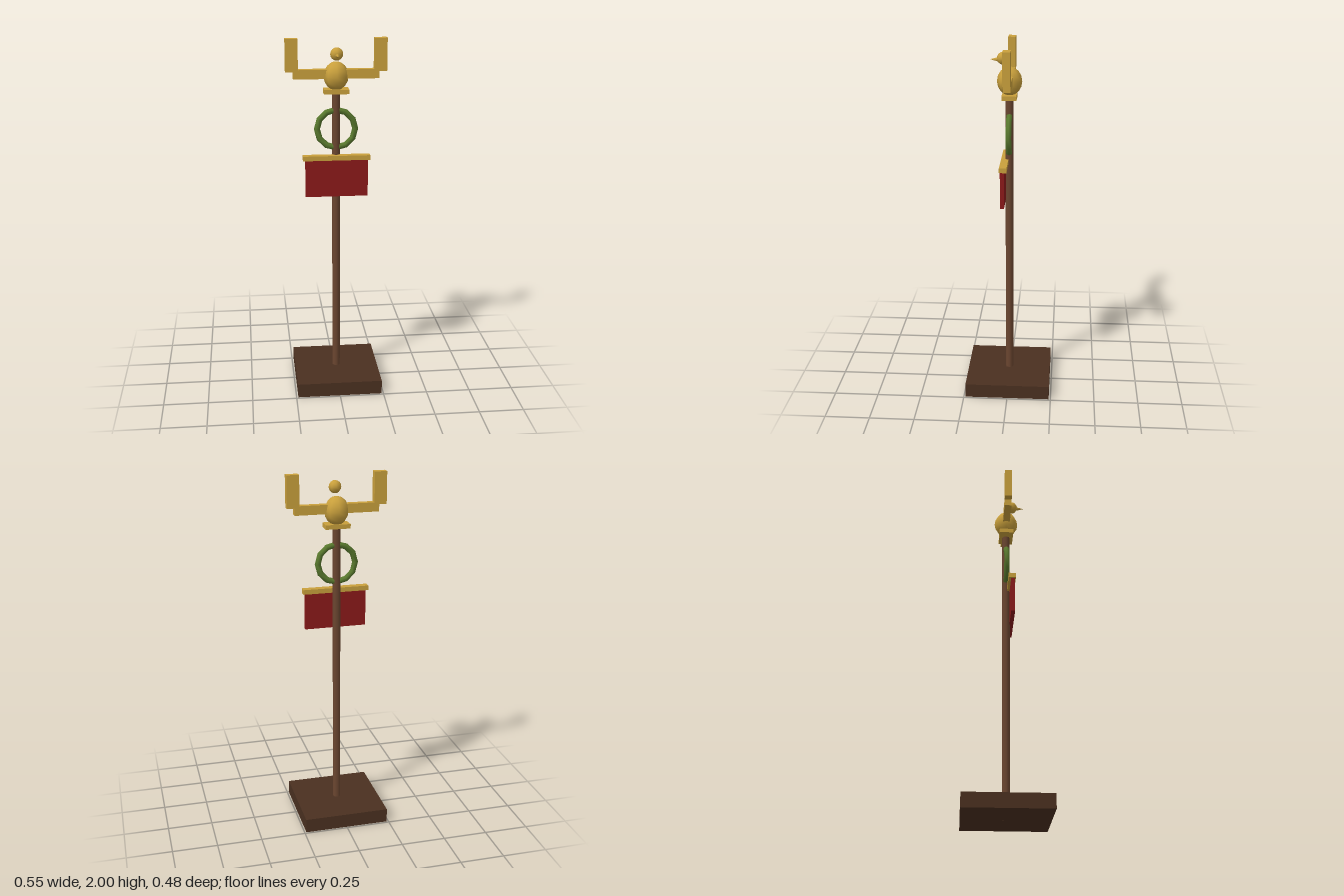
import * as THREE from 'three';

const mat = (color) => new THREE.MeshStandardMaterial({ color });

export function createModel() {
  const model = new THREE.Group();
  model.name = 'eagleStandard';
  const gold = mat(0xc9a03c), darkWood = mat(0x4a3020), wood = mat(0x6b4630);
  const red = mat(0x8b1a1a), green = mat(0x5a7a2e);

  const add = (parent, name, geometry, material, x, y, z) => {
    const mesh = new THREE.Mesh(geometry, material);
    mesh.name = name;
    mesh.position.set(x, y, z);
    parent.add(mesh);
    return mesh;
  };
  const box = (w, h, d) => new THREE.BoxGeometry(w, h, d);

  // Square foot and pole
  add(model, 'base', box(0.48, 0.08, 0.48), darkWood, 0, 0.04, 0);
  add(model, 'pole', new THREE.CylinderGeometry(0.022, 0.022, 1.71, 8), wood, 0, 0.855, 0);

  // Cloth hanging in front of the pole from a crossbar
  add(model, 'banner', box(0.345, 0.206, 0.022), red, 0, 1.237, 0.031);
  add(model, 'crossbar', box(0.37, 0.026, 0.041), gold, 0, 1.353, 0.026);

  // Wreath around the pole
  add(model, 'wreath', new THREE.TorusGeometry(0.105, 0.017, 6, 12), green, 0, 1.508, 0);

  // Bird on a small plinth
  const bird = new THREE.Group();
  bird.name = 'eagle';
  model.add(bird);
  add(bird, 'plinth', box(0.137, 0.024, 0.08), gold, 0, 1.717, 0);
  const body = add(bird, 'body', new THREE.SphereGeometry(0.068, 8, 8), gold, 0, 1.798, 0);
  body.scale.y = 1.15;
  add(bird, 'head', new THREE.SphereGeometry(0.035, 8, 8), gold, 0, 1.92, 0.033);
  const beak = add(bird, 'beak', new THREE.ConeGeometry(0.013, 0.045, 6), gold, 0, 1.914, 0.081);
  beak.rotation.x = Math.PI / 2;

  // Raised wings, mirrored left and right
  for (const side of [1, -1]) {
    const wing = new THREE.Group();
    wing.name = side > 0 ? 'leftWing' : 'rightWing';
    bird.add(wing);
    add(wing, 'wingArm', box(0.205, 0.05, 0.04), gold, side * 0.13, 1.81, 0);
    add(wing, 'wingTip', box(0.068, 0.176, 0.041), gold, side * 0.24, 1.912, 0);
  }

  return model;
}
